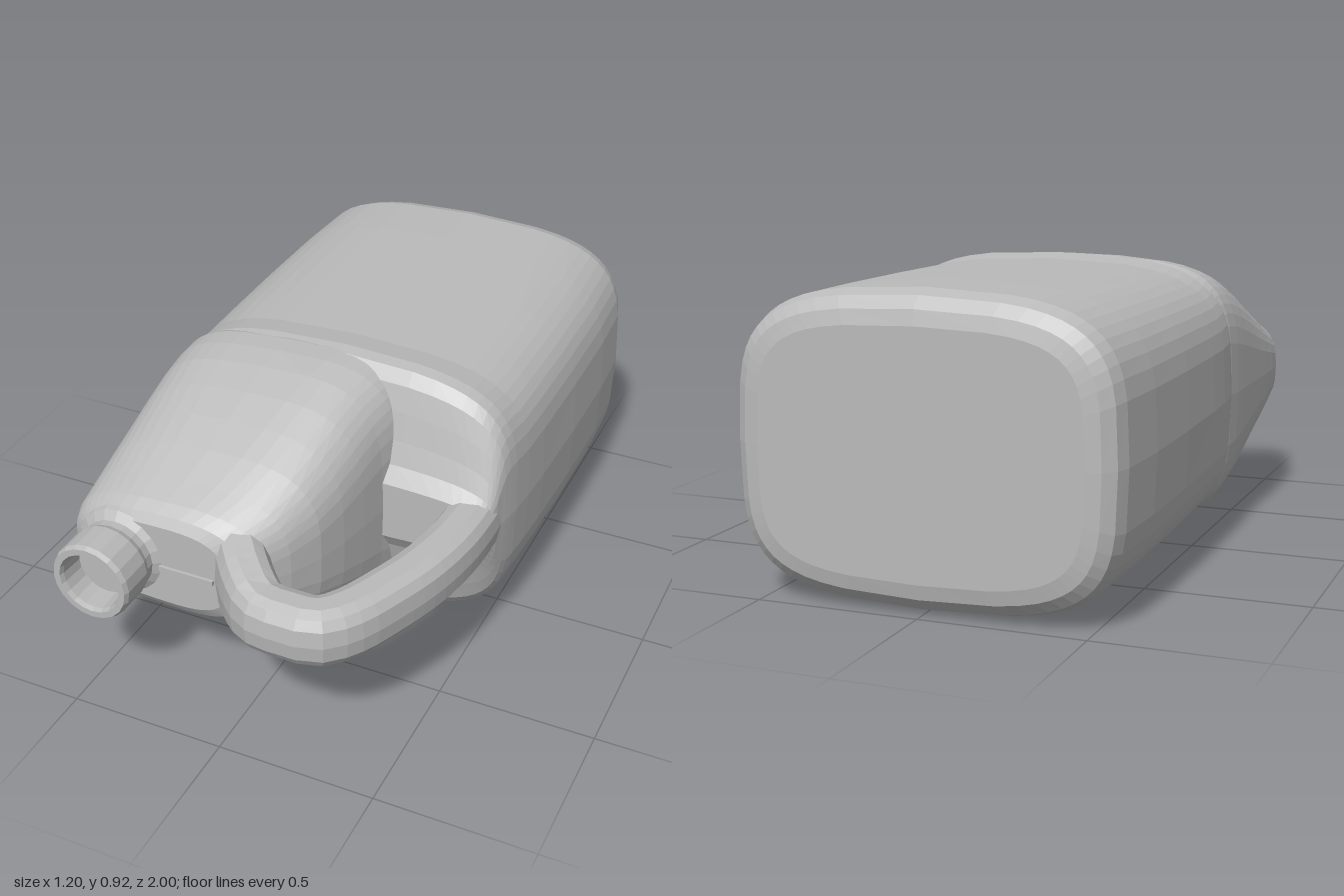
import * as THREE from 'three';

const plastic = new THREE.MeshStandardMaterial({ color: 0xbababa, flatShading: true });
plastic.name = 'grey plastic';

// Point k of n on a rounded-box outline (superellipse)
function outline(k, n, halfW, halfH, power) {
  const a = (k / n) * Math.PI * 2, c = Math.cos(a), s = Math.sin(a);
  return [
    halfW * Math.sign(c) * Math.abs(c) ** (2 / power),
    halfH * Math.sign(s) * Math.abs(s) ** (2 / power),
  ];
}

// Closed skin over rings of equal length, capped at both ends
function loft(rings) {
  const n = rings[0].length, pos = [], idx = [];
  rings.forEach(r => r.forEach(p => pos.push(p.x, p.y, p.z)));
  for (let i = 0; i < rings.length - 1; i++) {
    for (let j = 0; j < n; j++) {
      const a = i * n + j, b = i * n + (j + 1) % n;
      idx.push(a, b, a + n, b, b + n, a + n);
    }
  }
  [0, rings.length - 1].forEach((i, end) => {
    const c = new THREE.Vector3();
    rings[i].forEach(p => c.addScaledVector(p, 1 / n));
    const centre = pos.length / 3;
    pos.push(c.x, c.y, c.z);
    for (let j = 0; j < n; j++) {
      const a = i * n + j, b = i * n + (j + 1) % n;
      if (end) idx.push(centre, a, b);
      else idx.push(centre, b, a);
    }
  });
  const g = new THREE.BufferGeometry();
  g.setAttribute('position', new THREE.Float32BufferAttribute(pos, 3));
  g.setIndex(idx);
  g.computeVertexNormals();
  return g;
}

// Ring across z between two x limits, with arched top and bottom and bulging sides
function section(z, x0, x1, cy, halfH, power) {
  return Array.from({ length: 48 }, (_, k) => {
    const [u, v] = outline(k, 48, (x1 - x0) / 2, halfH, power);
    const x = (x0 + x1) / 2 + u * (1 - 0.05 * (v / 0.46) ** 2);
    return new THREE.Vector3(x, cy + v * (1 - 0.12 * (x / 0.59) ** 2), z);
  });
}

export function createModel() {
  const jug = new THREE.Group();
  jug.name = 'jug';
  const add = (name, geometry) => {
    const m = new THREE.Mesh(geometry, plastic);
    m.name = name;
    jug.add(m);
    return m;
  };

  // Container with rounded base and the shoulder behind the handle: z, half width, centre y, half height
  add('container', loft([
    [-1, 0.49, 0.458, 0.36], [-0.99, 0.535, 0.458, 0.405], [-0.96, 0.57, 0.458, 0.44],
    [-0.91, 0.585, 0.458, 0.457], [-0.7, 0.597, 0.46, 0.456], [-0.4, 0.6, 0.464, 0.45],
    [-0.1, 0.597, 0.468, 0.442], [0.03, 0.593, 0.47, 0.438], [0.12, 0.587, 0.473, 0.447],
    [0.16, 0.582, 0.473, 0.44], [0.19, 0.577, 0.473, 0.4], [0.215, 0.572, 0.473, 0.32],
    [0.24, 0.568, 0.473, 0.23], [0.265, 0.56, 0.474, 0.155], [0.3, 0.545, 0.475, 0.1],
  ].map(([z, w, cy, h]) => section(z, -w, w, cy, h, 5))));

  // Tapering front beside the handle: z, left limit, right limit, half height, squareness
  add('taperedFront', loft([
    [0.09, -0.57, 0.2, 0.42, 5], [0.15, -0.583, 0.25, 0.443, 4.8], [0.22, -0.587, 0.235, 0.438, 4.6],
    [0.3, -0.588, 0.215, 0.421, 4.3], [0.4, -0.588, 0.198, 0.384, 4], [0.5, -0.588, 0.178, 0.338, 3.7],
    [0.6, -0.588, 0.15, 0.288, 3.5], [0.7, -0.587, 0.1, 0.232, 3.3], [0.77, -0.583, 0.05, 0.195, 3.2],
    [0.805, -0.57, 0.0, 0.17, 3.2], [0.825, -0.535, -0.05, 0.14, 3.2],
  ].map(([z, x0, x1, h, p]) => section(z, x0, x1, 0.473, h, p))));

  // Handle loop swept in the middle plane, flaring into the front: x, z
  const path = new THREE.CatmullRomCurve3([
    [0.485, 0.12], [0.49, 0.28], [0.482, 0.42], [0.45, 0.58], [0.4, 0.72], [0.345, 0.84],
    [0.285, 0.905], [0.2, 0.912], [0.115, 0.905], [0.045, 0.85], [-0.02, 0.775], [-0.09, 0.69],
  ].map(([x, z]) => new THREE.Vector3(x, 0.475, z)));
  const up = new THREE.Vector3(0, 1, 0), rings = [];
  for (let i = 0; i <= 30; i++) {
    const t = i / 30, p = path.getPointAt(t), side = up.clone().cross(path.getTangentAt(t));
    const halfH = 0.096 + 0.09 * Math.max(0, (t - 0.76) / 0.24);
    rings.push(Array.from({ length: 14 }, (_, k) => {
      const [u, v] = outline(k, 14, 0.083, halfH, 2.7);
      return p.clone().addScaledVector(side, u).addScaledVector(up, v);
    }));
  }
  add('handle', loft(rings));

  // Open neck with a thick lip: radius, z
  const neck = new THREE.LatheGeometry([
    [0.155, 0.79], [0.145, 0.82], [0.118, 0.84], [0.118, 0.865], [0.127, 0.885], [0.127, 0.985],
    [0.12, 1], [0.1, 1], [0.095, 0.985], [0.09, 0.91], [0, 0.91],
  ].map(([r, z]) => new THREE.Vector2(r, z)), 20);
  neck.rotateX(Math.PI / 2);
  add('neck', neck).position.set(-0.405, 0.48, 0);

  // Moulding seam between neck and handle
  add('seam', new THREE.BoxGeometry(0.18, 0.015, 0.03)).position.set(-0.18, 0.465, 0.82);

  return jug;
}
